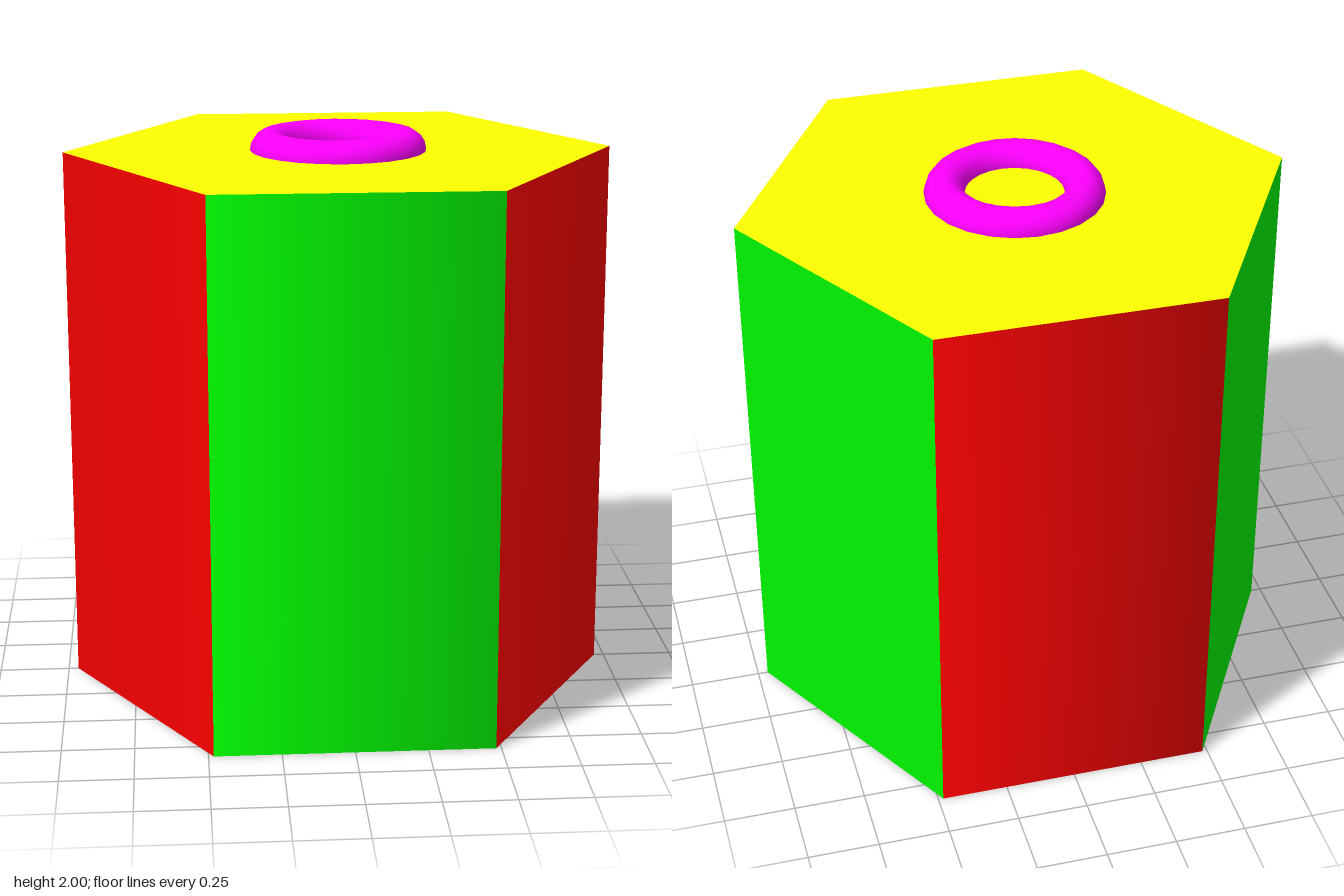
import * as THREE from 'three';

const RADIUS = 0.965, HEIGHT = 1.93;

export function createModel() {
  const model = new THREE.Group();
  const paint = (color) => new THREE.MeshStandardMaterial({ color });
  const red = paint(0xff0000), green = paint(0x00ff00);
  const yellow = paint(0xffff00), magenta = paint(0xff00ff);

  function add(name, geometry, material, y) {
    const mesh = new THREE.Mesh(geometry, material);
    mesh.name = name;
    mesh.position.y = y;
    model.add(mesh);
    return mesh;
  }

  // Six side panels, green at the front, alternating colours, softly shaded
  for (let i = 0; i < 6; i++) {
    const panel = new THREE.CylinderGeometry(
      RADIUS, RADIUS, HEIGHT, 1, 1, true, (i - 0.5) * Math.PI / 3, Math.PI / 3);
    add(`sidePanel${i + 1}`, panel, i % 2 ? red : green, HEIGHT / 2);
  }

  // Hexagonal end caps
  const cap = new THREE.CircleGeometry(RADIUS, 6);
  add('topCap', cap, yellow, HEIGHT).rotation.x = -Math.PI / 2;
  add('bottomCap', cap, yellow, 0).rotation.x = Math.PI / 2;

  // Ring half sunk into the top
  const ring = new THREE.TorusGeometry(0.241, 0.07, 16, 24);
  add('topRing', ring, magenta, HEIGHT).rotation.x = -Math.PI / 2;

  return model;
}
